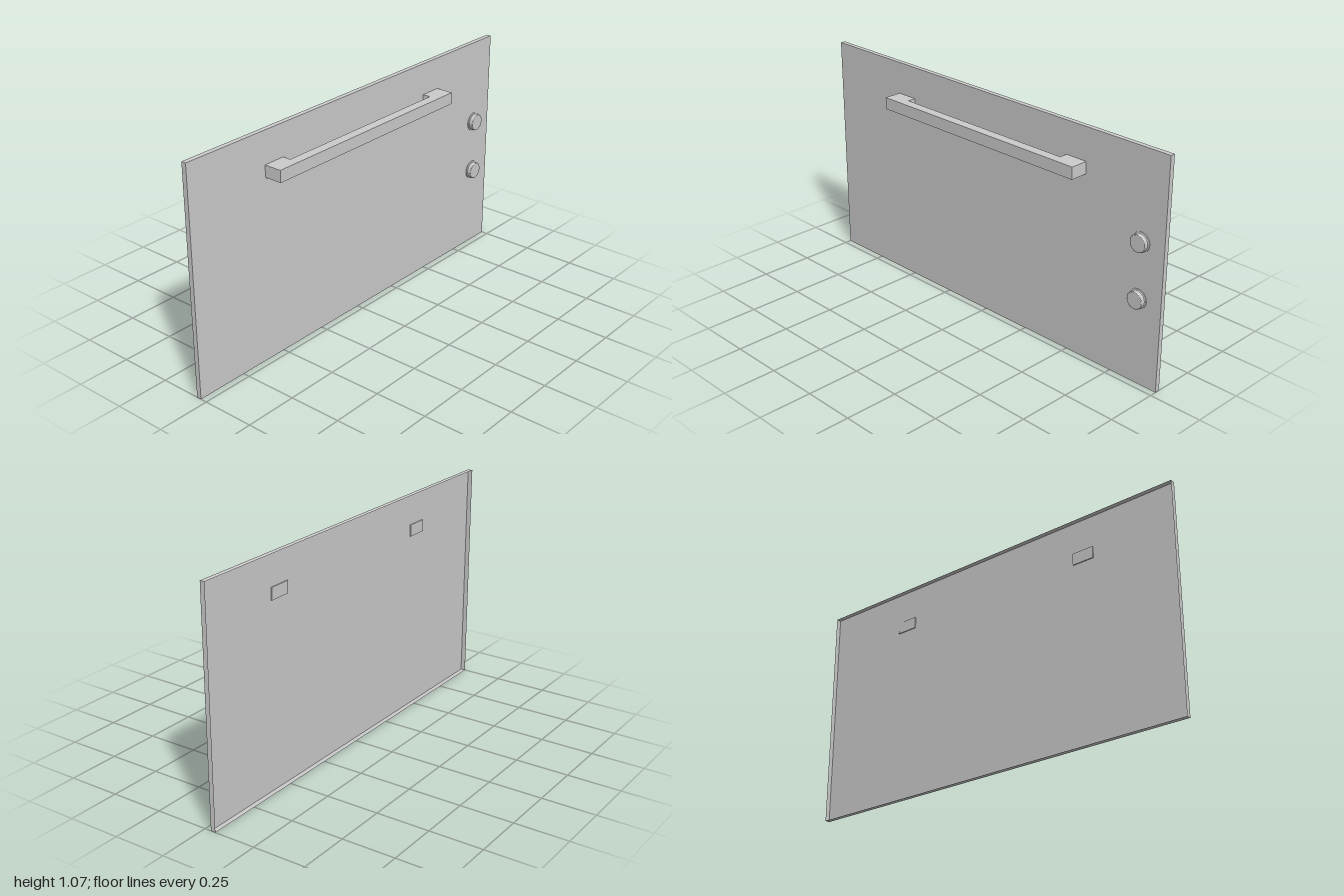
import * as THREE from 'three';

const FRONT = -0.031; // z of the panel's front sheet
const BACK = -0.054;

export function createModel() {
  const group = new THREE.Group();
  const material = new THREE.MeshStandardMaterial({ color: 0xcccccc, side: THREE.DoubleSide });
  const add = (name, geometry, x, y, z) => {
    const mesh = new THREE.Mesh(geometry, material);
    mesh.name = name;
    mesh.position.set(x, y, z);
    group.add(mesh);
    return mesh;
  };

  // Door panel: a shallow sheet tray, open at the back (last box face dropped)
  const tray = new THREE.BoxGeometry(2, 1.066, FRONT - BACK);
  tray.setIndex(Array.from(tray.index.array).slice(0, 30));
  tray.clearGroups();
  add('doorPanel', tray, 0, 0.533, (FRONT + BACK) / 2);

  // Handle: one bracket outline seen from above, whose feet pass just through the sheet
  const outer = 0.577, inner = 0.47, front = 0.054, barBack = 0.008, foot = FRONT - 0.005;
  const outline = new THREE.Shape([
    [-outer, front], [-outer, foot], [-inner, foot], [-inner, barBack],
    [inner, barBack], [inner, foot], [outer, foot], [outer, front],
  ].map(([x, z]) => new THREE.Vector2(x, z)));
  const bracket = new THREE.ExtrudeGeometry(outline, { depth: 0.056, bevelEnabled: false });
  bracket.rotateX(Math.PI / 2); // outline y becomes z, depth runs downward
  add('handle', bracket, 0, 0.915, 0);

  // Round knobs: thin flange, then a cap with a small rounded front edge.
  // Corner points are doubled so the edges stay sharp.
  const profile = [
    [0, 0], [0.045, 0], [0.045, 0], [0.045, 0.004], [0.045, 0.004], [0.040, 0.007],
    [0.040, 0.007], [0.040, 0.021], [0.039, 0.023], [0.037, 0.024], [0.037, 0.024], [0, 0.024],
  ].map(([r, h]) => new THREE.Vector2(r, h));
  const knob = new THREE.LatheGeometry(profile, 48);
  knob.rotateX(Math.PI / 2);
  for (const [name, y] of [['upperKnob', 0.656], ['lowerKnob', 0.398]]) {
    add(name, knob, 0.88, y, FRONT);
  }
  return group;
}
